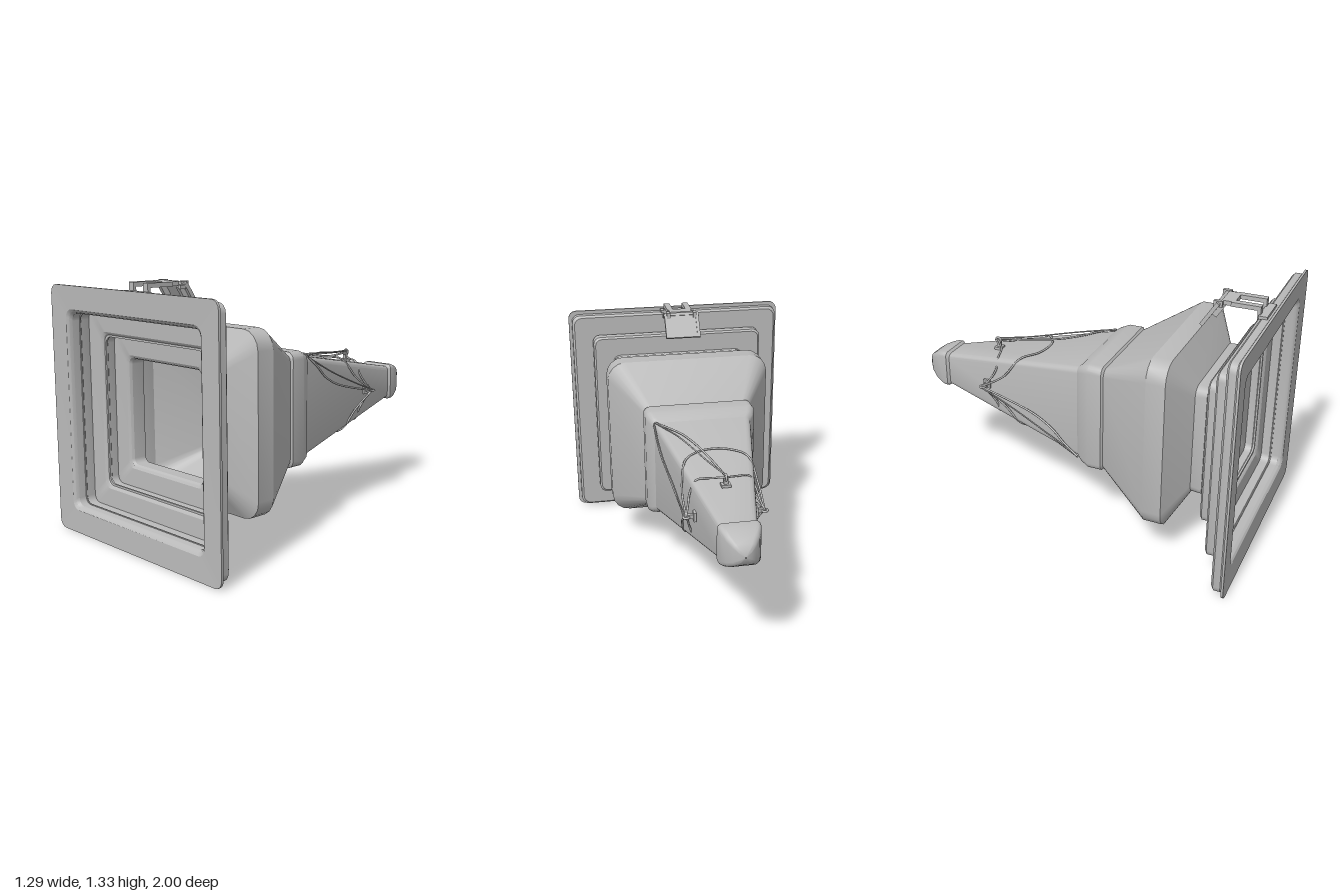
import * as THREE from 'three';
import { toCreasedNormals } from 'three/addons/utils/BufferGeometryUtils.js';

const AXIS_Y = 0.645; // height of the horn's axis

// Ring of points round a square with rounded corners, counter-clockwise seen from +z
function roundedSquare(half, radius, z, steps = 4) {
  const pts = [], r = Math.min(radius, half * 0.9), c = half - r;
  for (let q = 0; q < 4; q++) {
    const cx = q === 0 || q === 3 ? c : -c, cy = q < 2 ? c : -c;
    for (let i = 0; i <= steps; i++) {
      const a = (q + i / steps) * Math.PI / 2;
      pts.push(cx + r * Math.cos(a), cy + r * Math.sin(a), z);
    }
  }
  return pts;
}

// Skin through [half width, z, corner radius] sections
function loft(sections) {
  const pos = [], index = [], n = 20;
  for (const [h, z, r] of sections) pos.push(...roundedSquare(h, r, z));
  for (let i = 0; i < sections.length - 1; i++) {
    for (let j = 0; j < n; j++) {
      const a = i * n + j, b = i * n + (j + 1) % n;
      index.push(a, b, b + n, a, b + n, a + n);
    }
  }
  const g = new THREE.BufferGeometry();
  g.setAttribute('position', new THREE.Float32BufferAttribute(pos, 3));
  g.setIndex(index);
  return toCreasedNormals(g, 0.45);
}

// Half width of the tapering neck at depth z
const neckHalf = z => 0.265 + (0.05 - z) * (0.095 - 0.265) / 0.88;

export function createModel() {
  const model = new THREE.Group();
  const grey = new THREE.MeshStandardMaterial({ color: 0xbababa, side: THREE.DoubleSide });
  grey.name = 'grey';

  const add = (parent, name, geometry, x = 0, y = 0, z = 0) => {
    const m = new THREE.Mesh(geometry, grey);
    m.name = name;
    m.position.set(x, y, z);
    parent.add(m);
    return m;
  };
  const box = (parent, name, w, h, d, x, y, z) =>
    add(parent, name, new THREE.BoxGeometry(w, h, d), x, y, z);

  // Outside of the horn, from the tip to the mouth
  const outer = [
    [0.003, -1, 0.001], [0.03, -0.99, 0.012], [0.055, -0.97, 0.02], [0.08, -0.935, 0.025],
    [0.095, -0.9, 0.025], [0.104, -0.87, 0.025], [0.105, -0.845, 0.025], [0.095, -0.83, 0.025],
    [0.265, 0.05, 0.03], [0.285, 0.075, 0.035], [0.3, 0.11, 0.04], [0.305, 0.125, 0.04],
    [0.305, 0.2, 0.04], [0.295, 0.21, 0.04],
    [0.465, 0.5, 0.1], [0.465, 0.6, 0.1], [0.305, 0.7, 0.05],
    [0.305, 0.76, 0.04], [0.295, 0.77, 0.04], [0.295, 0.785, 0.04],
    [0.385, 0.785, 0.04], [0.395, 0.795, 0.04], [0.395, 0.835, 0.04], [0.385, 0.845, 0.04],
    [0.385, 0.855, 0.04], [0.5, 0.855, 0.04], [0.51, 0.865, 0.04], [0.51, 0.915, 0.04],
    [0.5, 0.925, 0.04], [0.5, 0.93, 0.04], [0.615, 0.93, 0.045], [0.627, 0.942, 0.045],
    [0.627, 0.978, 0.045], [0.617, 0.988, 0.045], [0.645, 0.988, 0.045], [0.645, 1, 0.045]
  ];
  // Stepped mouth and the hollow, from the rim back to the tip
  const inner = [
    [0.525, 0.995, 0.045], [0.512, 0.985, 0.04], [0.505, 0.97, 0.04], [0.505, 0.872, 0.04],
    [0.41, 0.868, 0.04], [0.398, 0.86, 0.04], [0.39, 0.845, 0.04], [0.39, 0.8, 0.04],
    [0.295, 0.796, 0.035], [0.283, 0.788, 0.035], [0.276, 0.775, 0.03], [0.276, 0.705, 0.03],
    [0.455, 0.594, 0.09], [0.455, 0.506, 0.09], [0.285, 0.215, 0.035], [0.293, 0.195, 0.035],
    [0.293, 0.128, 0.035], [0.257, 0.055, 0.025], [0.088, -0.825, 0.02], [0.096, -0.85, 0.02],
    [0.09, -0.89, 0.02], [0.07, -0.935, 0.02], [0.003, -0.985, 0.001]
  ];
  add(model, 'hornBody', loft([...outer, ...inner]), 0, AXIS_Y, 0);

  // Cord anchors, one on each face of the neck
  const rigging = new THREE.Group();
  rigging.name = 'rigging';
  rigging.position.y = AXIS_Y;
  model.add(rigging);
  for (let i = 0; i < 4; i++) {
    const anchor = new THREE.Group();
    anchor.name = 'cordAnchor';
    anchor.rotation.z = i * Math.PI / 2;
    box(anchor, 'anchorPlate', 0.048, 0.014, 0.042, 0, 0.157, -0.55);
    box(anchor, 'anchorPost', 0.022, 0.035, 0.018, 0, 0.178, -0.55);
    add(anchor, 'anchorRing', new THREE.TorusGeometry(0.015, 0.006, 8, 16), 0, 0.2, -0.555)
      .rotation.y = Math.PI / 2;
    rigging.add(anchor);
  }

  // Cords
  const cord = (name, points, radius = 0.0055) => {
    const curve = new THREE.CatmullRomCurve3(points.map(p => new THREE.Vector3(...p)));
    add(rigging, name, new THREE.TubeGeometry(curve, 40, radius, 8));
  };
  const lift = z => neckHalf(z) + 0.01;

  for (const s of [1, -1]) {
    // Long loop over the face, and short swags to the side anchors
    cord('longLoop', [
      [-0.2, 0, -0.56], [-0.197, s * 0.09, -0.42], [-0.165, s * lift(-0.33), -0.33],
      [-0.09, s * lift(-0.26), -0.26], [0, s * lift(-0.24), -0.24], [0.09, s * lift(-0.26), -0.26],
      [0.165, s * lift(-0.33), -0.33], [0.197, s * 0.09, -0.42], [0.2, 0, -0.56]
    ]);
    for (const side of [1, -1]) {
      cord('shortSwag', [
        [0, s * 0.2, -0.555], [side * 0.06, s * 0.178, -0.505], [side * 0.135, s * 0.165, -0.485],
        [side * 0.168, s * 0.1, -0.485], [side * 0.185, s * 0.04, -0.52], [side * 0.2, 0, -0.555]
      ]);
    }
    // Two stays from one shoulder corner to the neighbouring anchors
    const stay = [
      [0.262, 0.268, 0.05], [0.2, 0.264, -0.03], [0.14, 0.253, -0.1], [0.085, 0.235, -0.21],
      [0.04, 0.22, -0.37], [0, 0.206, -0.56]
    ];
    cord('stay', stay.map(([x, y, z]) => [s * x, s * y, z]));
    cord('stay', stay.map(([x, y, z]) => [s * y, s * x, z]));
    // Taut line beside each stay
    const taut = [[0.262, 0.268, 0.05], [0.16, 0.255, -0.15], [0.06, 0.222, -0.4], [0, 0.212, -0.56]];
    cord('tautLine', taut.map(([x, y, z]) => [s * x, s * y, z]), 0.004);
    cord('tautLine', taut.map(([x, y, z]) => [s * y, s * x, z]), 0.004);
  }

  // Latch on the top edge of the mouth
  const latch = new THREE.Group();
  latch.name = 'latch';
  model.add(latch);
  box(latch, 'latchBase', 0.18, 0.016, 0.045, 0, 1.277, 0.945);
  for (const s of [1, -1]) {
    box(latch, 'latchLeg', 0.035, 0.065, 0.016, s * 0.055, 1.292, 0.922);
    box(latch, 'latchArm', 0.035, 0.022, 0.15, s * 0.055, 1.314, 0.855);
    box(latch, 'hingeLug', 0.02, 0.032, 0.045, s * 0.078, 1.311, 0.72);
  }
  box(latch, 'latchBridge', 0.13, 0.022, 0.065, 0, 1.314, 0.765);
  const pin = add(latch, 'hingePin', new THREE.CylinderGeometry(0.01, 0.01, 0.21, 12), 0, 1.31, 0.722);
  pin.rotation.z = Math.PI / 2;
  box(latch, 'pinLever', 0.02, 0.02, 0.035, 0.096, 1.3, 0.745);

  // Hanging flap with a raised border
  const flap = new THREE.Group();
  flap.name = 'latchFlap';
  flap.position.set(0, 1.256, 0.685);
  flap.rotation.x = 0.57;
  box(flap, 'flapPanel', 0.18, 0.145, 0.01, 0, 0, 0);
  for (const s of [1, -1]) {
    box(flap, 'flapSideRim', 0.018, 0.15, 0.02, s * 0.092, 0, 0);
    box(flap, 'flapEndRim', 0.18, 0.016, 0.02, 0, s * 0.067, 0);
    box(flap, 'flapHook', 0.022, 0.07, 0.03, s * 0.07, 0.035, 0.02);
  }
  latch.add(flap);

  return model;
}
